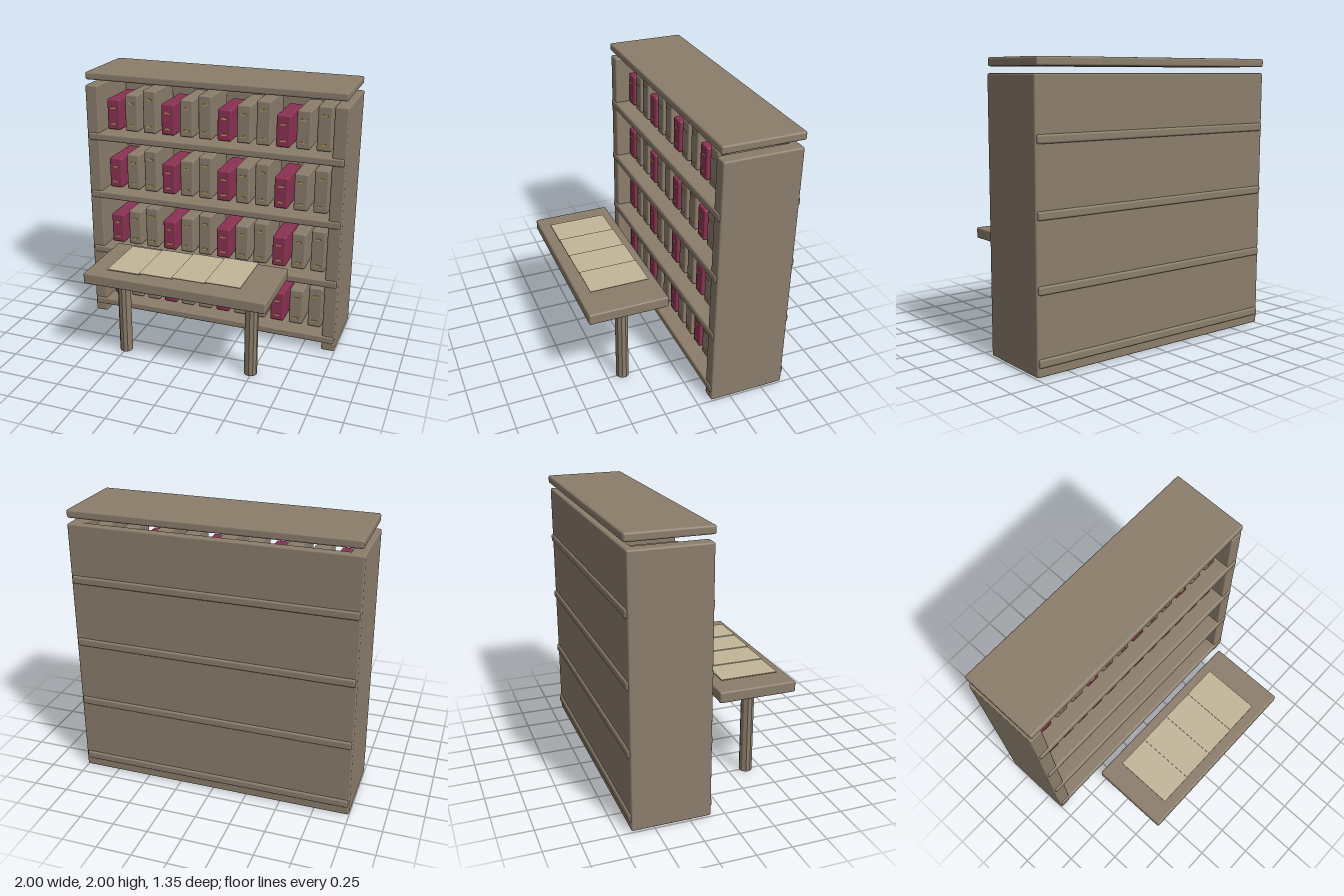
import * as THREE from 'three';
import { RoundedBoxGeometry } from 'three/addons/geometries/RoundedBoxGeometry.js';

const mat = (color, extra = {}) => new THREE.MeshStandardMaterial({ color, ...extra });

export function createModel() {
  const model = new THREE.Group();
  model.name = 'bookcaseAndDesk';
  const wood = mat(0x8b7d6b);
  const legWood = mat(0x8b7d6b, { flatShading: true });
  const red = mat(0x8b3252);
  const brass = mat(0xb89a5a);
  const paper = mat(0xc2b698);

  const add = (parent, name, geometry, material, x, y, z) => {
    const mesh = new THREE.Mesh(geometry, material);
    mesh.name = name;
    mesh.position.set(x, y, z);
    parent.add(mesh);
    return mesh;
  };
  const rounded = (w, h, d, r = 0.012) => new RoundedBoxGeometry(w, h, d, 2, r);
  const group = (name) => {
    const g = new THREE.Group();
    g.name = name;
    model.add(g);
    return g;
  };

  // Bookcase: side panels, back, shelves and a floating top board
  const depthCentre = -0.38;
  const bookcase = group('bookcase');
  for (const s of [-1, 1]) {
    add(bookcase, s > 0 ? 'leftSide' : 'rightSide', rounded(0.1, 1.89, 0.56), wood, s * 0.95, 0.953, depthCentre);
  }
  add(bookcase, 'backPanel', rounded(1.99, 1.89, 0.06), wood, 0, 0.953, -0.63);

  const shelfHeights = [0.1, 0.567, 1.036, 1.505];
  const shelfShape = rounded(1.98, 0.058, 0.585, 0.014);
  for (const y of shelfHeights) add(bookcase, 'shelf', shelfShape, wood, 0, y, depthCentre - 0.002);
  add(bookcase, 'topBoard', shelfShape, wood, 0, 1.971, depthCentre - 0.002);

  // Books: three repeating heights, the shortest bound in red
  const books = group('books');
  const heights = [0.238, 0.284, 0.327];
  const bookShapes = heights.map((h) => rounded(0.105, h, 0.36));
  const tagShape = new THREE.BoxGeometry(0.042, 0.012, 0.012);
  for (const shelfY of shelfHeights) {
    const base = shelfY + 0.037;
    for (let i = 0; i < 12; i++) {
      const kind = i % 3;
      const x = -0.82 + i * 0.1487;
      add(books, 'book', bookShapes[kind], kind === 0 ? red : wood, x, base + heights[kind] / 2, depthCentre);
      // Brass bands on the spine
      for (const y of [base + 0.048, base + heights[kind] - 0.068]) {
        add(books, 'spineBand', tagShape, brass, x, y, -0.2);
      }
    }
  }

  // Desk on two ten-sided legs
  const desk = group('desk');
  add(desk, 'deskTop', rounded(1.345, 0.082, 0.58), wood, -0.003, 0.698, 0.384);
  const legShape = new THREE.CylinderGeometry(0.048, 0.048, 0.66, 10);
  for (const s of [-1, 1]) add(desk, 'deskLeg', legShape, legWood, s * 0.495 - 0.003, 0.33, 0.384);

  // Row of thin sheets, each a little higher than the last
  const sheetShape = new THREE.BoxGeometry(0.255, 0.006, 0.43);
  for (let i = 0; i < 4; i++) {
    add(desk, 'sheet', sheetShape, paper, -0.393 + i * 0.2455, 0.759 + i * 0.0075, 0.383);
  }
  return model;
}
